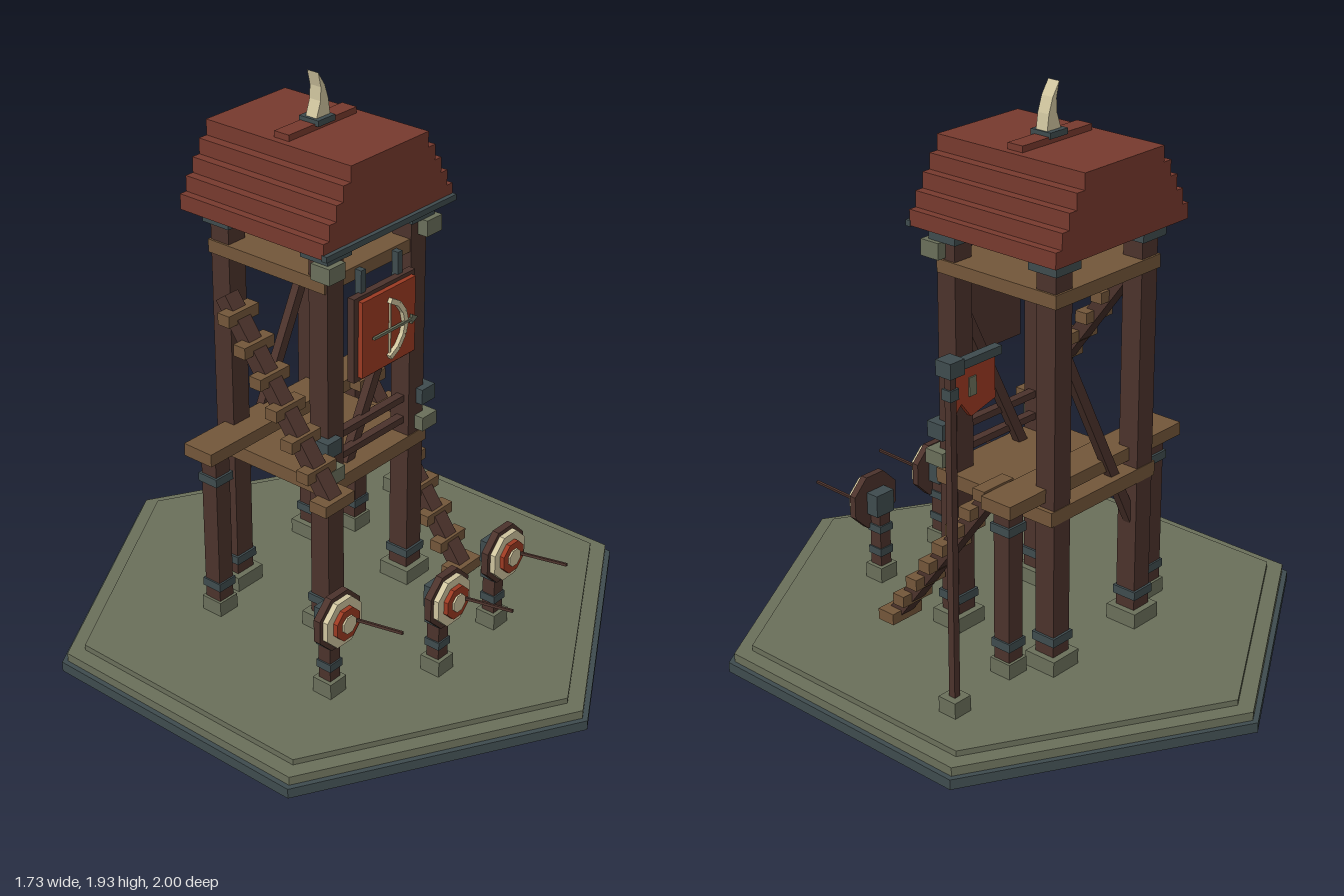
import * as THREE from 'three';

const mat = (name, color) => {
  const m = new THREE.MeshStandardMaterial({ color, flatShading: true });
  m.name = name;
  return m;
};

export function createModel() {
  const slate = mat('slate', 0x3f4c4f), stone = mat('stone', 0x6b705b);
  const darkWood = mat('dark wood', 0x4c332c), wood = mat('plank wood', 0x74573a);
  const roofRed = mat('roof red', 0x783a2e), red = mat('banner red', 0x9c3a22);
  const cream = mat('cream', 0xd0c59f);
  const model = new THREE.Group();
  model.name = 'archeryTower';

  const group = (name, parent = model) => {
    const g = new THREE.Group();
    g.name = name;
    parent.add(g);
    return g;
  };
  const add = (parent, name, geo, m) => {
    const mesh = new THREE.Mesh(geo, m);
    mesh.name = name;
    parent.add(mesh);
    return mesh;
  };
  // Box given by its minimum and maximum on each axis
  const box = (p, name, m, x0, x1, y0, y1, z0, z1) => {
    const b = add(p, name, new THREE.BoxGeometry(x1 - x0, y1 - y0, z1 - z0), m);
    b.position.set((x0 + x1) / 2, (y0 + y1) / 2, (z0 + z1) / 2);
    return b;
  };
  // Square block centred on (x, z)
  const block = (p, name, m, x, z, w, y0, y1) =>
    box(p, name, m, x - w / 2, x + w / 2, y0, y1, z - w / 2, z + w / 2);
  // Square bar between two points
  const bar = (p, name, m, a, b, w, d = w) => {
    const A = new THREE.Vector3(...a), B = new THREE.Vector3(...b);
    const mesh = add(p, name, new THREE.BoxGeometry(w, A.distanceTo(B), d), m);
    mesh.position.copy(A).add(B).multiplyScalar(0.5);
    mesh.quaternion.setFromUnitVectors(new THREE.Vector3(0, 1, 0), B.sub(A).normalize());
    return mesh;
  };
  const extrude = (p, name, m, pts, depth, z) => {
    const shape = new THREE.Shape(pts.map(([x, y]) => new THREE.Vector2(x, y)));
    const mesh = add(p, name, new THREE.ExtrudeGeometry(shape, { depth, bevelEnabled: false }), m);
    mesh.position.z = z;
    return mesh;
  };

  // Hexagonal ground in three steps
  const ground = group('ground');
  [[1, 0, 0.035, slate], [0.98, 0.035, 0.065, stone], [0.92, 0.065, 0.085, stone]].forEach(([r, y0, y1, m]) => {
    add(ground, 'groundStep', new THREE.CylinderGeometry(r, r, y1 - y0, 6), m).position.y = (y0 + y1) / 2;
  });

  // Four tall posts with footings, bands and caps
  const LX = -0.18, RX = 0.227, FZ = 0.067, BZ = -0.345;
  const tower = group('tower');
  for (const x of [LX, RX]) for (const z of [FZ, BZ]) {
    const s = x < 0 ? -1 : 1;
    const post = group('towerPost', tower);
    block(post, 'postFooting', stone, x, z, 0.12, 0.085, 0.138);
    block(post, 'postShaft', darkWood, x, z, 0.076, 0.13, 1.45);
    block(post, 'postBand', slate, x, z, 0.092, 0.18, 0.21);
    block(post, 'postCap', slate, x, z, 0.112, 1.44, 1.49);
    if (z === FZ) {
      block(post, 'cornerStone', stone, x + s * 0.033, z + 0.035, 0.075, 0.675, 0.725);
      block(post, 'cornerBand', slate, x + s * 0.035, z + 0.03, 0.068, 0.77, 0.825);
      block(post, 'capStone', stone, x + s * 0.034, z + 0.038, 0.075, 1.385, 1.44);
    }
  }

  // Short posts under the ends of the landing
  for (const x of [-0.348, 0.352]) {
    const post = group('landingPost', tower);
    block(post, 'landingFooting', stone, x, -0.27, 0.082, 0.085, 0.138);
    block(post, 'landingShaft', darkWood, x, -0.27, 0.064, 0.13, 0.68);
    block(post, 'landingBand', slate, x, -0.27, 0.076, 0.18, 0.21);
    block(post, 'landingCollar', slate, x, -0.27, 0.08, 0.59, 0.62);
  }

  // Decks, landing, rails and braces
  box(tower, 'lowerDeck', wood, -0.23, 0.28, 0.61, 0.66, BZ - 0.04, 0.108);
  box(tower, 'upperDeck', wood, -0.225, 0.272, 1.333, 1.378, BZ - 0.045, 0.1);
  box(tower, 'landing', wood, -0.41, 0.43, 0.68, 0.725, -0.348, -0.228);
  for (const y of [0.715, 0.795, 1.455])
    box(tower, 'frontRail', darkWood, LX, RX, y - 0.012, y + 0.012, 0.055, 0.085);
  for (const z of [0.05, BZ])
    bar(tower, 'diagonalBrace', darkWood, [-0.17, 0.44, z], [0.22, 1.22, z], 0.036, 0.03);

  // Stepped roof
  const roof = group('roof');
  const CX = 0.02;
  [0.312, 0.284, 0.252, 0.22, 0.185].forEach((w, i) =>
    box(roof, 'roofCourse', roofRed, CX - w, CX + w, 1.488 + i * 0.053, 1.541 + i * 0.053, -0.44, 0.155));
  box(roof, 'ridgeCap', roofRed, CX - 0.16, CX + 0.16, 1.75, 1.774, -0.175, -0.115);
  box(roof, 'frontEave', slate, -0.295, 0.335, 1.485, 1.505, 0.15, 0.17);

  // Curved horn on a slate socket
  const finial = group('finial');
  block(finial, 'hornSocket', slate, CX, -0.14, 0.08, 1.768, 1.788);
  extrude(finial, 'horn', cream, [[-0.01, 1.785], [0.055, 1.785], [0.047, 1.84], [0.03, 1.89],
    [0, 1.935], [0.012, 1.885], [0.01, 1.84]], 0.045, -0.162);

  // Hanging sign with a bow and arrow
  const sign = group('sign');
  box(sign, 'signFrame', darkWood, -0.13, 0.17, 1, 1.293, 0.112, 0.138);
  box(sign, 'signPanel', red, -0.11, 0.152, 1.015, 1.28, 0.13, 0.155);
  for (const x of [-0.07, 0.11]) box(sign, 'signHanger', slate, x - 0.011, x + 0.011, 1.28, 1.37, 0.1, 0.125);
  const bow = [[0.015, 1.245], [0.055, 1.222], [0.082, 1.185], [0.092, 1.145],
    [0.082, 1.105], [0.055, 1.068], [0.015, 1.045]];
  for (let i = 0; i < bow.length - 1; i++)
    bar(sign, 'bowLimb', cream, [...bow[i], 0.16], [...bow[i + 1], 0.16], 0.018, 0.02);
  bar(sign, 'bowString', cream, [0.022, 1.045, 0.158], [0.022, 1.245, 0.158], 0.006);
  bar(sign, 'arrowShaft', stone, [-0.07, 1.145, 0.168], [0.12, 1.145, 0.168], 0.009);
  extrude(sign, 'arrowHead', stone, [[0.115, 1.128], [0.145, 1.145], [0.115, 1.162]], 0.01, 0.163);

  // Stairs: a sloping beam carrying level treads
  const stairs = (name, x, y0, n, step) => {
    const g = group(name);
    bar(g, 'stairBeam', darkWood, [x, y0 - 0.015, 0.235], [x, y0 + 0.58, -0.205], 0.058, 0.05);
    for (let i = 0; i < n; i++) {
      const y = y0 + i * step, z = 0.225 - i * step * 0.72;
      const d = i === 0 ? 0.034 : 0.024;
      box(g, 'stairTread', wood, x - 0.068, x + 0.068, y - 0.02, y + 0.02, z - d, z + d);
    }
  };
  stairs('lowerStairs', 0.345, 0.118, 8, 0.0845);
  stairs('upperStairs', -0.338, 0.7, 7, 0.0885);

  // Flag on its pole
  const flag = group('flag');
  const PX = 0.638, PZ = -0.305;
  block(flag, 'poleFooting', stone, PX, PZ, 0.07, 0.085, 0.14);
  block(flag, 'pole', darkWood, PX, PZ, 0.024, 0.13, 1.24);
  block(flag, 'poleBand', slate, PX, PZ, 0.036, 1.14, 1.175);
  block(flag, 'poleCap', slate, PX, PZ, 0.06, 1.218, 1.268);
  box(flag, 'flagArm', slate, 0.432, 0.62, 1.225, 1.252, PZ - 0.015, PZ + 0.015);
  extrude(flag, 'flagCloth', red, [[0.455, 1.09], [0.56, 1.063], [0.6, 1.115], [0.648, 1.065],
    [0.648, 1.225], [0.455, 1.225]], 0.016, PZ - 0.008);
  box(flag, 'flagEmblem', stone, 0.54, 0.57, 1.13, 1.19, PZ - 0.013, PZ + 0.013);

  // Three practice targets: octagonal layers on a stand, each with an arrow
  const target = (x, z) => {
    const g = group('target');
    g.position.set(x, 0, z);
    block(g, 'standFooting', stone, 0, -0.02, 0.075, 0.085, 0.14);
    block(g, 'standPost', darkWood, 0, -0.02, 0.048, 0.13, 0.36);
    block(g, 'standBand', slate, 0, -0.02, 0.058, 0.18, 0.208);
    block(g, 'standCollar', slate, 0, -0.02, 0.06, 0.268, 0.295);
    box(g, 'targetBracket', slate, -0.04, 0.04, 0.335, 0.415, -0.048, 0.005);
    [[0.104, 0, 0.025, darkWood], [0.088, 0.025, 0.044, cream], [0.058, 0.044, 0.06, red],
      [0.032, 0.06, 0.066, cream]].forEach(([r, z0, z1, m]) => {
      const geo = new THREE.CylinderGeometry(r, r, z1 - z0, 8);
      geo.rotateY(Math.PI / 8).rotateX(Math.PI / 2);
      add(g, 'targetRing', geo, m).position.set(0, 0.375, (z0 + z1) / 2);
    });
    bar(g, 'targetArrow', darkWood, [0.038, 0.368, 0.04], [0.058, 0.388, 0.23], 0.009);
  };
  target(-0.458, 0.335);
  target(-0.143, 0.522);
  target(0.182, 0.5);

  return model;
}
